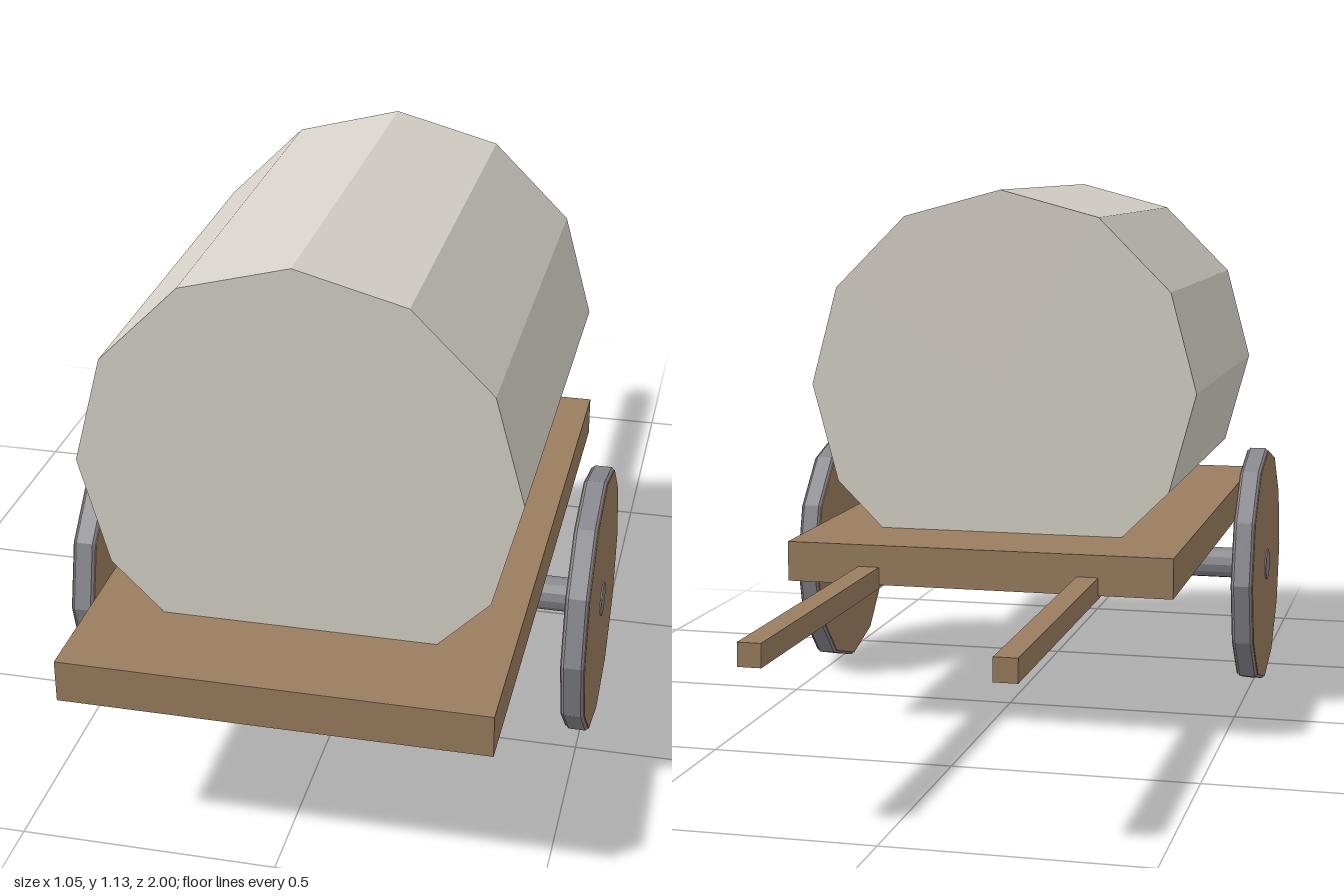
import * as THREE from 'three';

const SIDES = 12;
const material = (color) => new THREE.MeshStandardMaterial({ color, flatShading: true });

export function createModel() {
  const cart = new THREE.Group();
  cart.name = 'barrelCart';
  const wood = material(0x9a7d5e);
  const iron = material(0x88888e);
  const cask = material(0xd6d2c8);

  const add = (parent, name, geometry, mat, x, y, z) => {
    const mesh = new THREE.Mesh(geometry, mat);
    mesh.name = name;
    mesh.position.set(x, y, z);
    parent.add(mesh);
    return mesh;
  };

  // Flat bed
  add(cart, 'bed', new THREE.BoxGeometry(0.82, 0.084, 1.295), wood, 0, 0.36, 0.3525);

  // Barrel lying along z, sunk through the bed
  const barrel = new THREE.CylinderGeometry(0.422, 0.422, 0.88, SIDES).rotateX(Math.PI / 2);
  add(cart, 'barrel', barrel, cask, 0, 0.713, 0.352);

  // Axle, poking just past both wheels
  const axle = new THREE.CylinderGeometry(0.035, 0.035, 1.054, SIDES).rotateZ(Math.PI / 2);
  add(cart, 'axle', axle, iron, 0, 0.272, 0.354);

  // Chamfered iron tyre profile: radius, offset along the axle
  const tyreProfile = [[0.264, -0.023], [0.27, -0.017], [0.27, 0.017], [0.264, 0.023]]
    .map(([r, h]) => new THREE.Vector2(r, h));

  for (const side of [1, -1]) {
    const prefix = side > 0 ? 'left' : 'right';

    // Wooden disc wheel with its tyre
    const wheel = new THREE.Group();
    wheel.name = prefix + 'Wheel';
    wheel.position.set(side * 0.5, 0.272, 0.354);
    wheel.rotation.z = Math.PI / 2;
    add(wheel, 'disc', new THREE.CylinderGeometry(0.265, 0.265, 0.048, SIDES), wood, 0, 0, 0);
    add(wheel, 'tyre', new THREE.LatheGeometry(tyreProfile, SIDES), iron, 0, 0, 0);
    cart.add(wheel);

    // Pulling shaft under the back end of the bed
    add(cart, prefix + 'Shaft', new THREE.BoxGeometry(0.045, 0.045, 0.82), wood,
      side * 0.233, 0.333, -0.59);
  }
  return cart;
}
